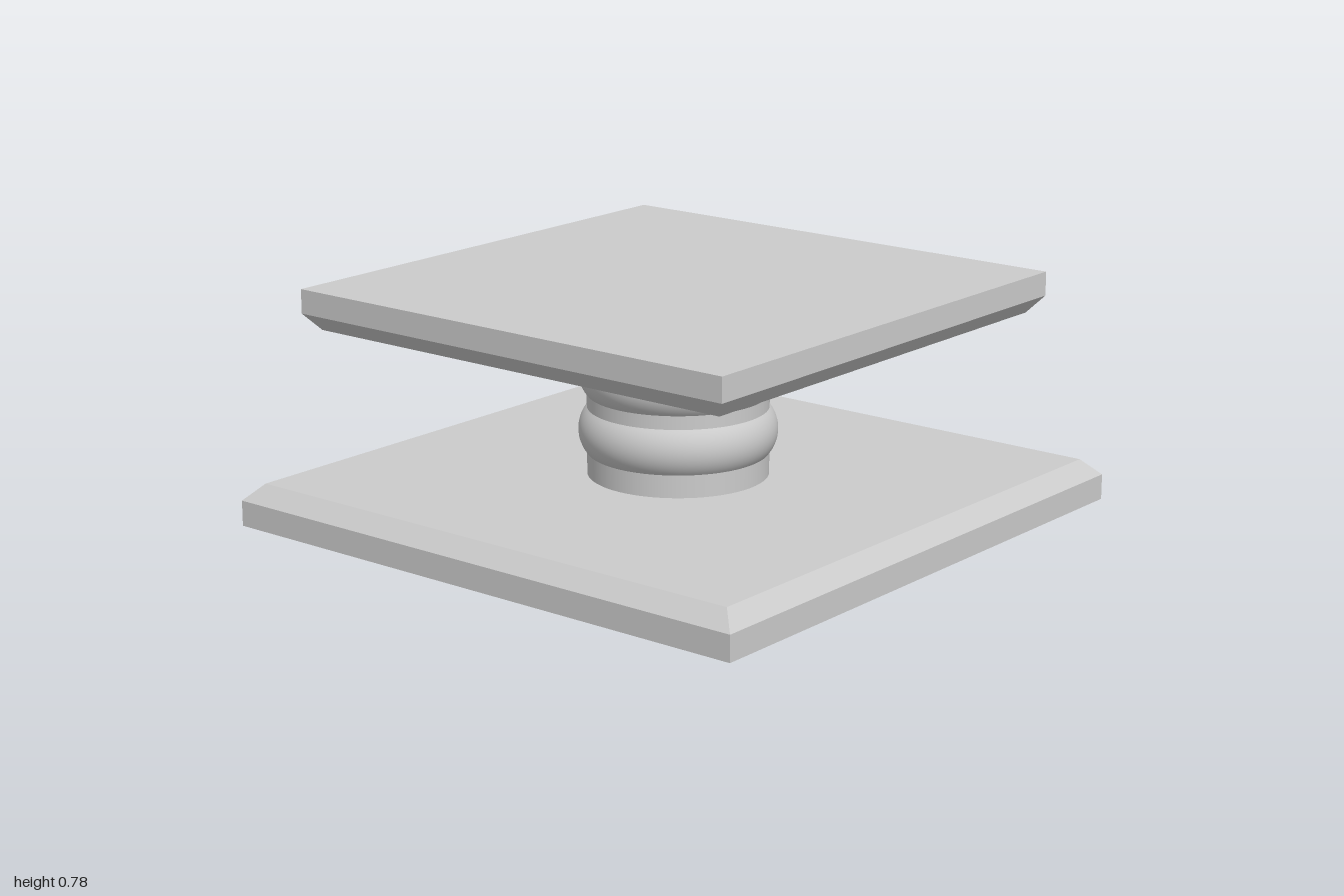
import * as THREE from 'three';

const material = new THREE.MeshStandardMaterial({ color: 0xcccccc });
const flatMaterial = new THREE.MeshStandardMaterial({ color: 0xcccccc, flatShading: true });

// Square plate from a [half width, height] profile, turned with four sides
function plate(name, profile) {
  const points = profile.map(([half, y]) => new THREE.Vector2(half * Math.SQRT2, y));
  const geometry = new THREE.LatheGeometry(points, 4, Math.PI / 4).toNonIndexed();
  geometry.computeVertexNormals();
  const mesh = new THREE.Mesh(geometry, flatMaterial);
  mesh.name = name;
  return mesh;
}

// Smooth turned section of the column, from bottom to top
function turned(name, points) {
  const mesh = new THREE.Mesh(new THREE.LatheGeometry(points, 64), material);
  mesh.name = name;
  return mesh;
}

export function createModel() {
  const model = new THREE.Group();
  model.name = 'pedestal';

  // Base chamfered along its top edge, upper slab along its bottom edge
  model.add(plate('base', [[0, 0], [1, 0], [1, 0.085], [0.945, 0.14], [0, 0.14]]));
  model.add(plate('topSlab', [[0, 0.645], [0.805, 0.645], [0.85, 0.7], [0.85, 0.78], [0, 0.78]]));

  // Column: straight necks between two rounded rings
  const column = new THREE.Group();
  column.name = 'column';
  const radius = 0.297;
  for (const [name, y0, y1] of [['lowerNeck', 0.14, 0.215], ['middleNeck', 0.365, 0.41], ['upperNeck', 0.56, 0.645]]) {
    column.add(turned(name, [new THREE.Vector2(radius, y0), new THREE.Vector2(radius, y1)]));
  }

  // Each ring bulges along a circular arc
  const halfHeight = 0.075, bulge = 0.028;
  const arcRadius = (halfHeight ** 2 + bulge ** 2) / (2 * bulge);
  const arcCentre = radius + bulge - arcRadius;
  const halfAngle = Math.asin(halfHeight / arcRadius);
  for (const [name, y] of [['lowerRing', 0.29], ['upperRing', 0.485]]) {
    const arc = [];
    for (let i = 0; i <= 16; i++) {
      const a = halfAngle * (i / 8 - 1);
      arc.push(new THREE.Vector2(arcCentre + arcRadius * Math.cos(a), y + arcRadius * Math.sin(a)));
    }
    column.add(turned(name, arc));
  }
  model.add(column);
  return model;
}
